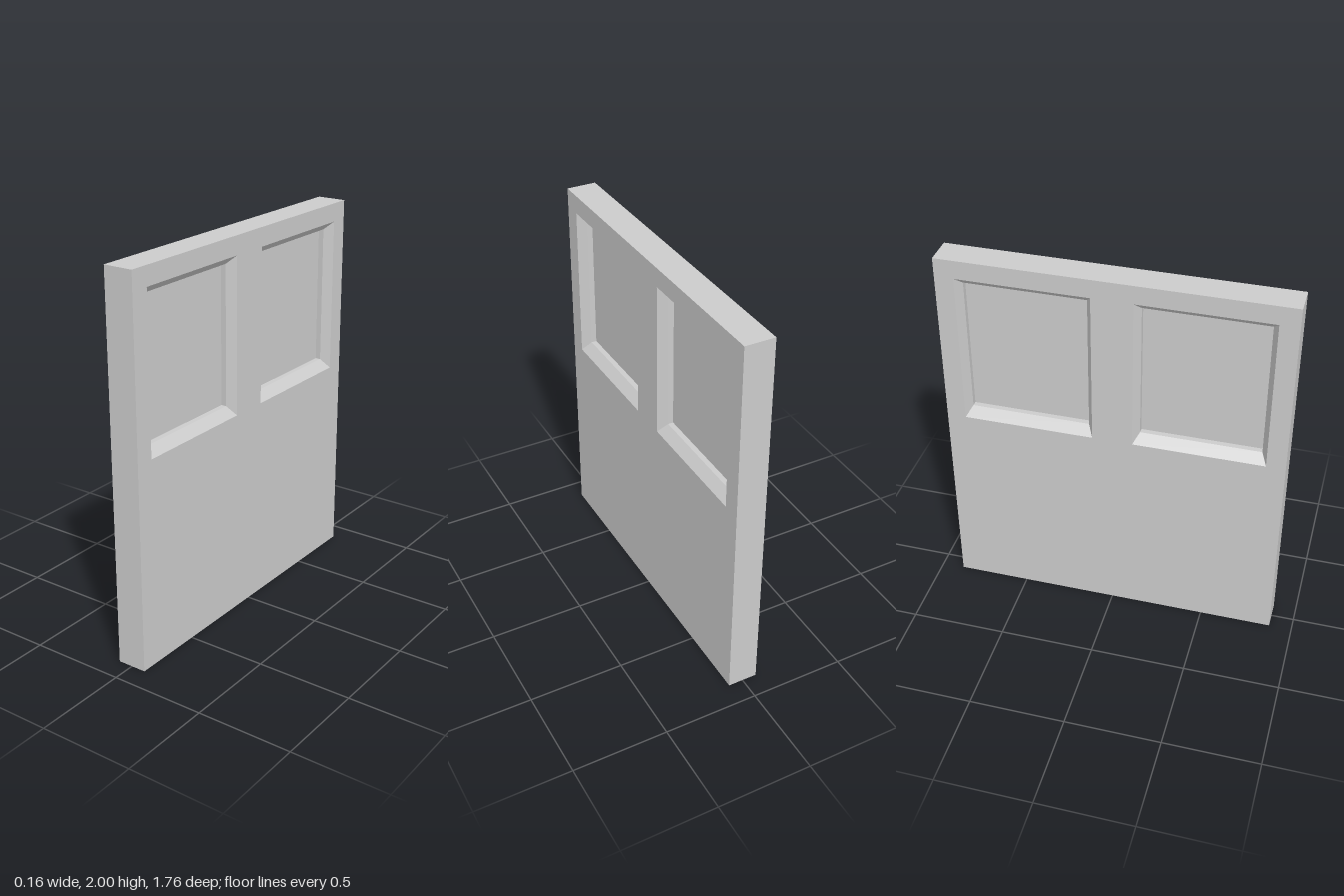
import * as THREE from 'three';

const HALF_T = 0.078, HALF_W = 0.88, HEIGHT = 2;
const material = new THREE.MeshStandardMaterial({ color: 0xcccccc, flatShading: true });

// Corners of a rectangle, counter-clockwise
const corners = ([u0, v0, u1, v1]) => [[u0, v0], [u1, v0], [u1, v1], [u0, v1]];

// Walls joining rectangles [u0, v0, u1, v1] placed at successive depths w
function rectLoft(levels) {
  const pos = [];
  for (let i = 0; i < levels.length - 1; i++) {
    const [a, b] = [levels[i], levels[i + 1]].map(({ rect, w }) => corners(rect).map(c => [...c, w]));
    for (let k = 0; k < 4; k++) {
      const n = (k + 1) % 4;
      pos.push(...a[k], ...a[n], ...b[n], ...a[k], ...b[n], ...b[k]);
    }
  }
  const geo = new THREE.BufferGeometry();
  geo.setAttribute('position', new THREE.Float32BufferAttribute(pos, 3));
  geo.computeVertexNormals();
  return geo;
}

function addMesh(parent, name, geometry) {
  const mesh = new THREE.Mesh(geometry, material);
  mesh.name = name;
  parent.add(mesh);
  return mesh;
}

// One face of the door with its two recessed panels, facing +w
function createSide(name, outline) {
  const side = new THREE.Group();
  side.name = name;
  const face = new THREE.Shape(corners(outline).map(c => new THREE.Vector2(...c)));
  const bevelDepth = HALF_T - 0.047, panelDepth = 0.003;

  for (const s of [-1, 1]) {
    const centre = s * 0.443;
    const outer = [centre - 0.339, 1.085, centre + 0.339, 1.902];
    const inner = [centre - 0.31, 1.133, centre + 0.31, 1.86];
    face.holes.push(new THREE.Path(corners(outer).map(c => new THREE.Vector2(...c))));

    // Sloping bevel followed by a straight reveal
    addMesh(side, 'panelReveal', rectLoft([
      { rect: outer, w: HALF_T },
      { rect: inner, w: bevelDepth },
      { rect: inner, w: panelDepth },
    ]));

    const panel = addMesh(side, 'recessedPanel',
      new THREE.PlaneGeometry(inner[2] - inner[0], inner[3] - inner[1]));
    panel.position.set(centre, (inner[1] + inner[3]) / 2, panelDepth);
  }

  addMesh(side, 'doorFace', new THREE.ShapeGeometry(face)).position.z = HALF_T;
  return side;
}

export function createModel() {
  const model = new THREE.Group();
  model.name = 'door';
  const slab = new THREE.Group();
  slab.name = 'doorSlab';
  slab.rotation.y = Math.PI / 2;
  model.add(slab);

  const outline = [-HALF_W, 0, HALF_W, HEIGHT];

  // Two matching faces
  const left = createSide('leftSide', outline);
  const right = createSide('rightSide', outline);
  right.rotation.y = Math.PI;
  slab.add(left, right);

  // Four narrow outer edges
  addMesh(slab, 'doorEdges', rectLoft([
    { rect: outline, w: -HALF_T },
    { rect: outline, w: HALF_T },
  ]));
  return model;
}
